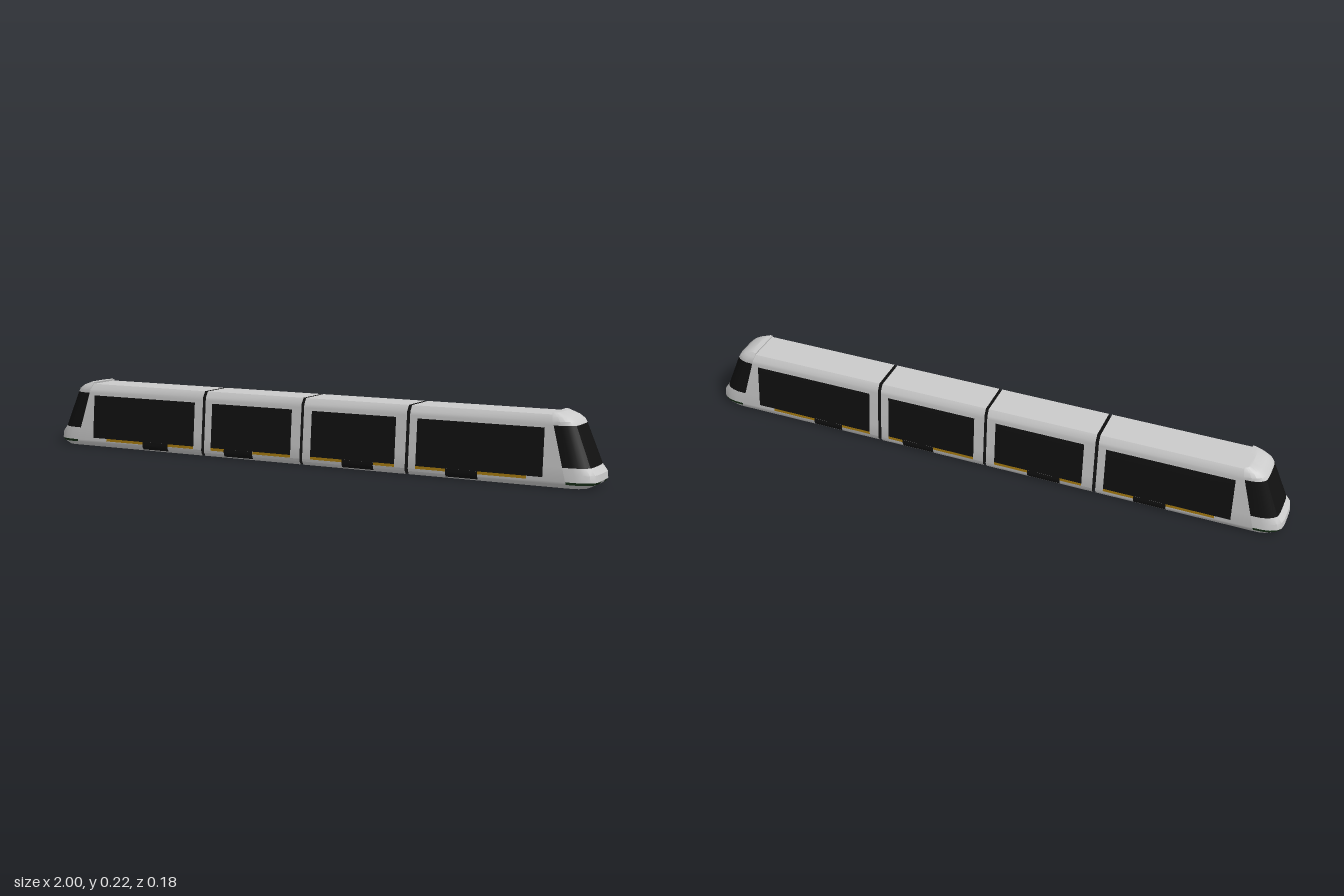
import * as THREE from 'three';
import { toCreasedNormals } from 'three/addons/utils/BufferGeometryUtils.js';

const mat = (color) => new THREE.MeshStandardMaterial({ color });
const grey = mat(0xcccccc), black = mat(0x111111), yellow = mat(0xa87c10), green = mat(0x183018);

// half cross-section of the cars: [height, half width]
const SECTION = [[0, 0.08], [0.012, 0.088], [0.02, 0.089], [0.063, 0.0855], [0.188, 0.0745], [0.2, 0.073], [0.219, 0.06]];
// cab levels: [height, half width, nose reach]
const CAB = [[0, 0.08, 0.97], [0.012, 0.088, 0.994], [0.02, 0.089, 1], [0.042, 0.088, 0.998], [0.063, 0.0855, 0.982],
  [0.188, 0.0745, 0.932], [0.2, 0.0745, 0.925], [0.213, 0.068, 0.908], [0.225, 0.06, 0.875]];
// rounded nose in plan: [fraction of reach, fraction of width]
const PLAN = [[0, 1], [0.35, 0.985], [0.6, 0.93], [0.82, 0.82], [0.95, 0.68], [0.992, 0.45], [1, 0.2]];

const cabStart = (y) => 0.915 - 0.27 * y; // slanted joint between body and cab

// skin over rows of points; columns run rightwards, rows upwards seen from outside
function skin(name, rows, material) {
  const n = rows[0].length, index = [];
  for (let r = 0; r < rows.length - 1; r++) {
    for (let c = 0; c < n - 1; c++) {
      const a = r * n + c, b = a + 1, d = a + n, e = d + 1;
      index.push(a, b, e, a, e, d);
    }
  }
  const g = new THREE.BufferGeometry();
  g.setAttribute('position', new THREE.Float32BufferAttribute(rows.flat(2), 3));
  g.setIndex(index);
  const mesh = new THREE.Mesh(toCreasedNormals(g, 0.5), material);
  mesh.name = name;
  return mesh;
}

function widthAt(y) {
  const i = Math.max(1, SECTION.findIndex((s) => s[0] >= y));
  const [y0, w0] = SECTION[i - 1], [y1, w1] = SECTION[i];
  return w0 + (w1 - w0) * (y - y0) / (y1 - y0);
}

// thin panel lying on the +z side wall
function sidePanel(name, x0, x1, y0, y1, material, lift) {
  const ys = [y0, ...SECTION.map((s) => s[0]).filter((y) => y > y0 && y < y1), y1];
  return skin(name, ys.map((y) => [x0, x1].map((x) => [x, y, widthAt(y) + lift])), material);
}

// closed tube of the car section, from xa to xb(y)
function carBody(name, xa, xb, cappedEnd) {
  const group = new THREE.Group();
  group.name = name;
  const left = SECTION.map(([y, w]) => [y, w]);
  const right = SECTION.map(([y, w]) => [y, -w]).reverse();
  const loop = [...left, ...right, left[0]];
  group.add(skin('bodyShell', loop.map(([y, z]) => [[xa, y, z], [xb(y), y, z]]), grey));
  group.add(skin('innerEnd', SECTION.map(([y, w]) => [[xa, y, -w], [xa, y, w]]), black));
  if (cappedEnd) group.add(skin('outerEnd', SECTION.map(([y, w]) => [[xb(y), y, w], [xb(y), y, -w]]), black));
  return group;
}

function cab() {
  const group = new THREE.Group();
  group.name = 'cab';
  const rows = CAB.map(([y, w, reach]) => {
    const x0 = cabStart(y);
    const side = PLAN.map(([u, f]) => [x0 + (reach - x0) * u, y, w * f]);
    return [...side, ...side.map(([x, h, z]) => [x, h, -z]).reverse()];
  });
  const flat = (row) => row.map(([x, y]) => [x, y, 0]);
  const n = PLAN.length;
  group.add(skin('cabSkirt', [flat(rows[0]), rows[0], rows[1]], grey));
  // coloured strip, broken in the middle by the coupler cover
  const strip = (a, b) => rows.slice(1, 3).map((r) => r.slice(a, b));
  group.add(skin('bumperStripLeft', strip(0, n), green));
  group.add(skin('couplerCover', strip(n - 1, n + 1), grey));
  group.add(skin('bumperStripRight', strip(n, 2 * n), green));
  group.add(skin('bumper', rows.slice(2, 5), grey));
  group.add(skin('windscreen', rows.slice(4, 6), black));
  group.add(skin('cabRoof', [...rows.slice(5), flat(rows[rows.length - 1])], grey));
  group.add(skin('cabRear', rows.map((r) => [r[2 * n - 1], r[0]]), grey));
  return group;
}

// one half of the train: two car bodies, a cab and the whole of one side's panels
function half() {
  const group = new THREE.Group();
  group.add(carBody('middleCar', 0.005, () => 0.377, true));
  group.add(carBody('endCar', 0.388, cabStart, false));
  group.add(cab());

  // per car: window span and door span
  const cars = [[-0.842, -0.42, -0.63, -0.525], [-0.35, -0.04, -0.297, -0.185],
    [0.035, 0.34, 0.152, 0.265], [0.414, 0.837, 0.517, 0.625]];
  for (const [w0, w1, d0, d1] of cars) {
    group.add(sidePanel('sideWindow', w0, w1, 0.03, 0.18, black, 0.001));
    group.add(sidePanel('doorSill', d0, d1, 0.004, 0.03, black, 0.0014));
    // sill stripes stop short of the cab
    const s0 = Math.max(w0, -0.785), s1 = Math.min(w1, 0.785);
    group.add(sidePanel('sillStripe', s0, d0, 0.021, 0.03, yellow, 0.001));
    group.add(sidePanel('sillStripe', d1, s1, 0.021, 0.03, yellow, 0.001));
  }

  // low drawbar joining the two cars
  const bar = new THREE.Mesh(new THREE.BoxGeometry(0.016, 0.008, 0.07), black);
  bar.name = 'drawbar';
  bar.position.set(0.3825, 0.007, 0);
  group.add(bar);
  return group;
}

export function createModel() {
  const model = new THREE.Group();
  model.name = 'tram';
  const a = half(), b = half();
  a.name = 'leftHalf';
  b.name = 'rightHalf';
  b.rotation.y = Math.PI;
  model.add(a, b);
  const bar = new THREE.Mesh(new THREE.BoxGeometry(0.016, 0.008, 0.07), black);
  bar.name = 'centreDrawbar';
  bar.position.y = 0.007;
  model.add(bar);
  return model;
}
